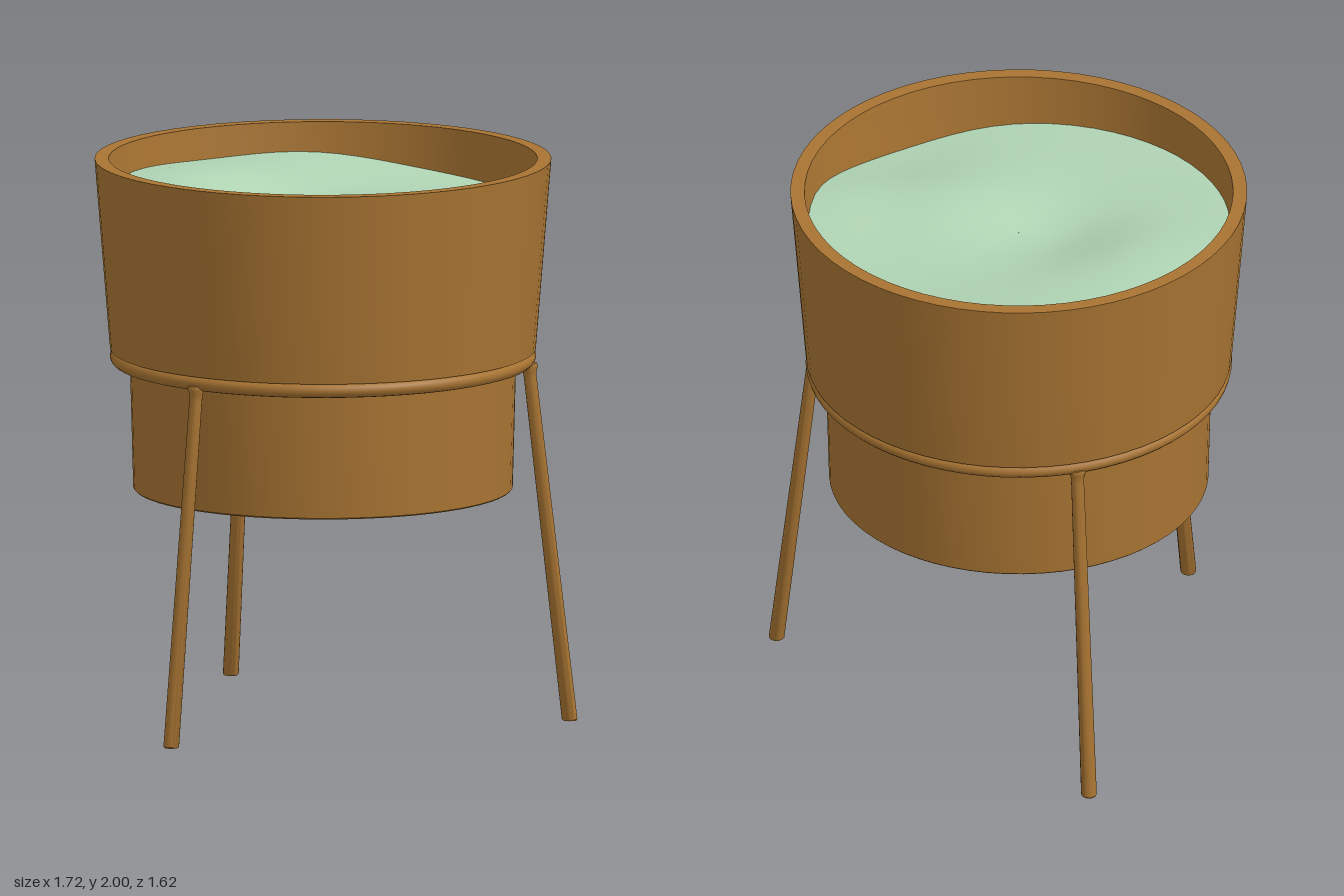
import * as THREE from 'three';
import { toCreasedNormals } from 'three/addons/utils/BufferGeometryUtils.js';

const CX = 0.048; // pot axis; the lone leg at -x shifts it off the origin
const pts = (list) => list.map(([x, y]) => new THREE.Vector2(x, y));

// Height of the soil at a point measured from the pot axis
function soilHeight(x, z) {
  const bump = (cx, cz, h, w) => h * Math.exp(-((x - cx) ** 2 + (z - cz) ** 2) / (w * w));
  return 1.835 - 0.035 * z
    + bump(-0.1, -0.48, 0.06, 0.35)
    + bump(-0.08, -0.12, -0.05, 0.25)
    + bump(0.05, 0.3, 0.05, 0.3)
    + bump(0.55, -0.5, 0.04, 0.35)
    + bump(0.35, 0.62, 0.05, 0.25)
    + bump(-0.2, 0.75, -0.03, 0.3);
}

// Disc of rings with a gently uneven surface, fitted to the tapered inner wall
function soilGeometry() {
  const geo = new THREE.RingGeometry(0.001, 1, 64, 14);
  geo.rotateX(-Math.PI / 2);
  const p = geo.attributes.position;
  for (let i = 0; i < p.count; i++) {
    const x = p.getX(i) * 0.748, z = p.getZ(i) * 0.748;
    p.setXYZ(i, x, soilHeight(x, z), z);
  }
  geo.computeVertexNormals();
  return geo;
}

// Upright tapered leg with a flared top, sheared outward so the foot stays level
function legGeometry(topR, footR, topY) {
  const geo = new THREE.LatheGeometry(pts([
    [0, 0], [0.024, 0], [0.028, 0.005], [0.023, topY - 0.06],
    [0.025, topY - 0.035], [0.032, topY - 0.02], [0.03, topY - 0.008], [0, topY],
  ]), 16);
  const p = geo.attributes.position;
  for (let i = 0; i < p.count; i++) {
    p.setX(i, p.getX(i) + THREE.MathUtils.lerp(footR, topR, p.getY(i) / topY));
  }
  return toCreasedNormals(geo, 0.7);
}

export function createModel() {
  const model = new THREE.Group();
  const brown = new THREE.MeshStandardMaterial({ color: 0xa87432 });
  const green = new THREE.MeshStandardMaterial({ color: 0xb0d4b4, side: THREE.DoubleSide });

  const add = (name, geo, mat) => {
    const mesh = new THREE.Mesh(geo, mat);
    mesh.name = name;
    mesh.position.x = CX;
    model.add(mesh);
    return mesh;
  };

  // Pot: narrow base, step out to the wide upper drum, rim and inner wall
  const profile = pts([
    [0, 0.816], [0.668, 0.816], [0.673, 0.821], [0.686, 1.317], [0.755, 1.317],
    [0.81, 2], [0.76, 2], [0.735, 1.7], [0, 1.7],
  ]);
  add('pot', toCreasedNormals(new THREE.LatheGeometry(profile, 64), 0.6), brown);

  // Soil filling
  add('soil', soilGeometry(), green);

  // Support ring under the drum
  const ring = new THREE.TorusGeometry(0.729, 0.027, 12, 64);
  ring.rotateX(Math.PI / 2);
  add('supportRing', ring, brown).position.y = 1.291;

  // Three splayed legs
  const legGeo = legGeometry(0.732, 0.88, 1.29);
  for (let i = 0; i < 3; i++) {
    const leg = add('leg', legGeo, brown);
    leg.position.z = 0.004;
    leg.rotation.y = Math.PI + (i * 2 * Math.PI) / 3;
  }
  return model;
}
